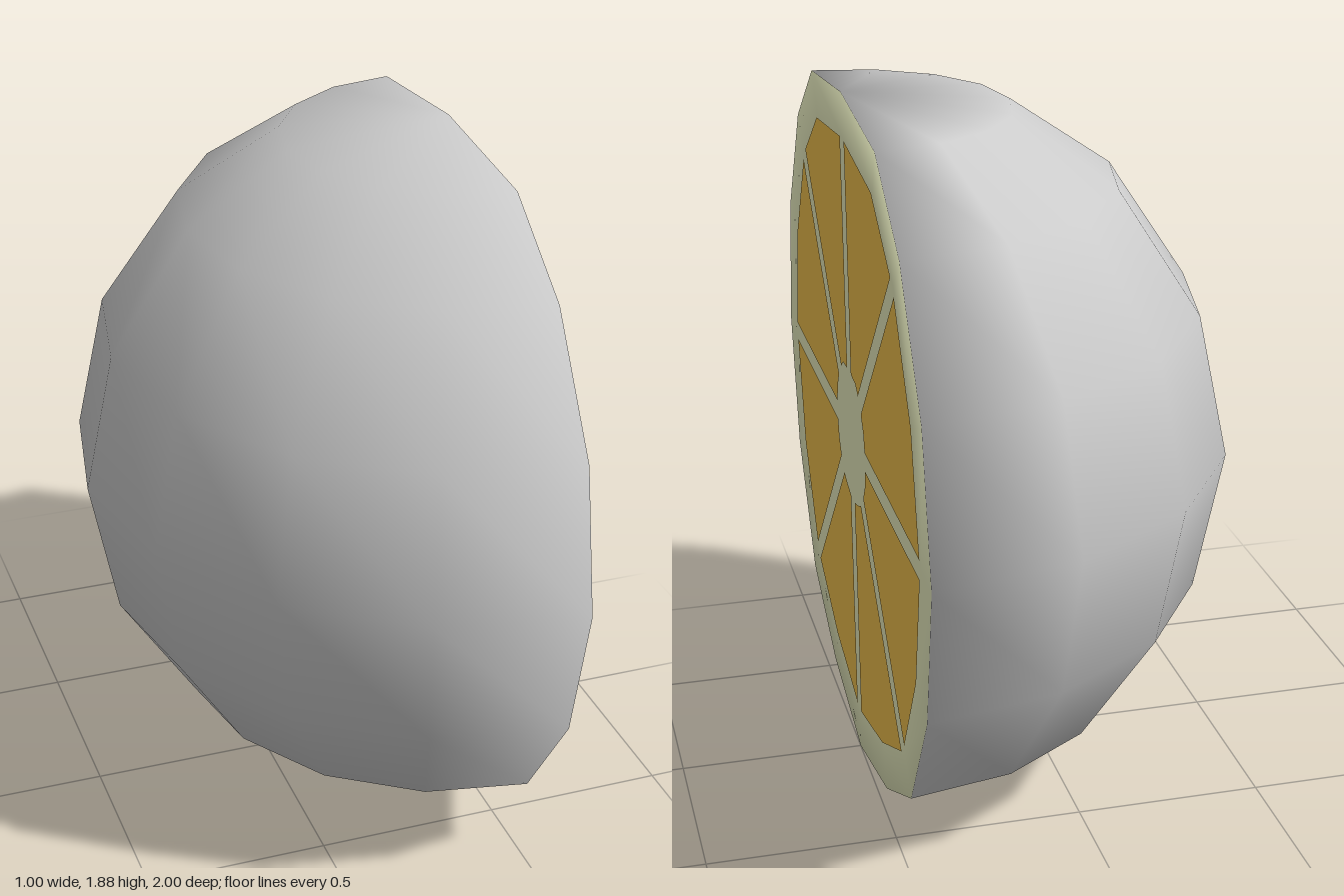
import * as THREE from 'three';

const CENTER_Y = 0.945, CUT_X = 0.5;

// Half outline of the fruit: [radius, height above the centre], bottom to top
const PROFILE = [
  [0, -0.945], [0.385, -0.863], [0.71, -0.705], [0.923, -0.38], [1, 0],
  [0.923, 0.38], [0.71, 0.705], [0.44, 0.892], [0, 0.935],
].map(([r, h]) => new THREE.Vector2(r, h));

// Full 16-sided outline of the cut, counter-clockwise from the bottom
const RIM = [
  ...PROFILE,
  ...PROFILE.slice(1, -1).reverse().map((p) => new THREE.Vector2(-p.x, p.y)),
];
const rimAt = (i, scale) => RIM[i % 16].clone().multiplyScalar(scale);

const material = (color) => new THREE.MeshStandardMaterial({ color });

// Flat polygon facing +x
function slab(name, points, mat, x) {
  const geometry = new THREE.ShapeGeometry(new THREE.Shape(points));
  geometry.rotateY(Math.PI / 2);
  const mesh = new THREE.Mesh(geometry, mat);
  mesh.name = name;
  mesh.position.x = x;
  return mesh;
}

// Half-turned outer skin with soft normals that roll over at the cut edge
function makeSkin() {
  const geometry = new THREE.LatheGeometry(PROFILE, 8, Math.PI, Math.PI);
  const pos = geometry.attributes.position, normal = geometry.attributes.normal;
  const v = new THREE.Vector3();
  for (let i = 0; i < pos.count; i++) {
    v.fromBufferAttribute(pos, i).normalize();
    if (Math.abs(v.x) < 1e-4) v.x = 1;
    v.normalize();
    normal.setXYZ(i, v.x, v.y, v.z);
  }
  const mesh = new THREE.Mesh(geometry, material(0xcccccc));
  mesh.name = 'skin';
  return mesh;
}

// Pale ring between skin and flesh, shaded as a rounded edge
function makePithRing(mat) {
  const positions = [], normals = [], index = [];
  for (let i = 0; i <= 16; i++) {
    const outer = rimAt(i, 1), inner = rimAt(i, 0.87);
    const n = new THREE.Vector3(1, outer.y, -outer.x).normalize();
    positions.push(0, outer.y, -outer.x, -0.003, inner.y, -inner.x);
    normals.push(n.x, n.y, n.z, 1, 0, 0);
    if (i < 16) {
      const a = 2 * i;
      index.push(a, a + 2, a + 1, a + 1, a + 2, a + 3);
    }
  }
  const geometry = new THREE.BufferGeometry();
  geometry.setAttribute('position', new THREE.Float32BufferAttribute(positions, 3));
  geometry.setAttribute('normal', new THREE.Float32BufferAttribute(normals, 3));
  geometry.setIndex(index);
  const mesh = new THREE.Mesh(geometry, mat);
  mesh.name = 'pithRing';
  return mesh;
}

// One flesh wedge between two neighbouring membranes
function makeSegment(s, mat) {
  const a = 2 * s, gap = 0.026;
  const side = (i, sign) => {
    const d = rimAt(i, 1).normalize();
    return new THREE.Vector2(-d.y, d.x).multiplyScalar(sign * gap);
  };
  const start = side(a, 1), end = side(a + 2, -1);
  const points = [
    rimAt(a, 0.87).add(start), rimAt(a + 1, 0.87), rimAt(a + 2, 0.87).add(end),
    rimAt(a + 2, 0.195).add(end), rimAt(a + 1, 0.2), rimAt(a, 0.195).add(start),
  ];
  return slab('fleshSegment', points, mat, 0);
}

export function createModel() {
  const model = new THREE.Group();
  model.name = 'halfCitrus';
  const fruit = new THREE.Group();
  fruit.name = 'fruit';
  fruit.position.set(CUT_X, CENTER_Y, 0);
  model.add(fruit);

  const pith = material(0xf0f4c6);
  const flesh = material(0xf5c550);

  fruit.add(makeSkin());
  fruit.add(makePithRing(pith));

  // Membranes and core show between the flesh wedges
  fruit.add(slab('membranesAndCore', RIM.map((p, i) => rimAt(i, 0.87)), pith, -0.003));
  for (let s = 0; s < 8; s++) fruit.add(makeSegment(s, flesh));

  return model;
}
